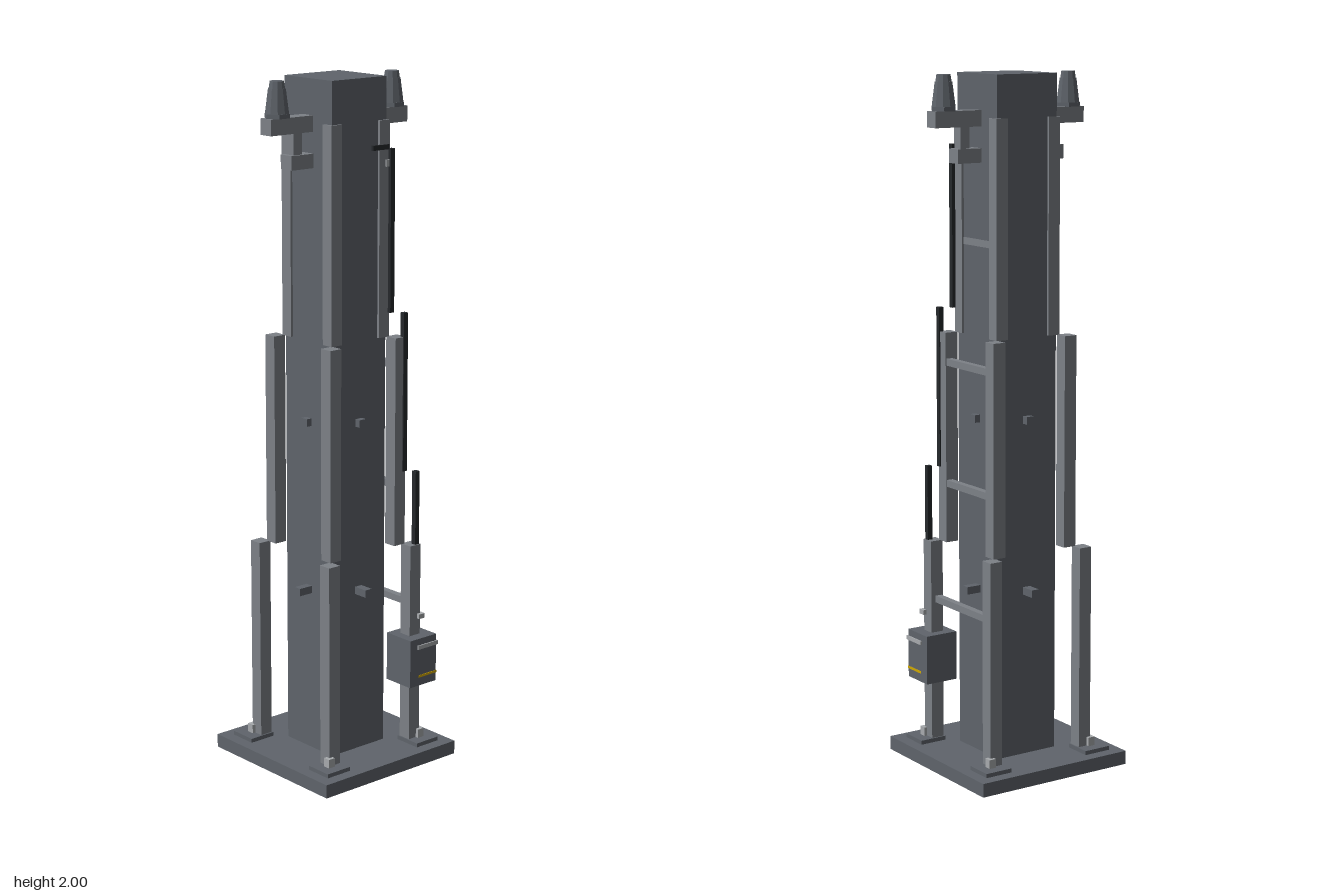
import * as THREE from 'three';

export function createModel() {
  const model = new THREE.Group();
  const mat = (color) => new THREE.MeshStandardMaterial({ color, flatShading: true });
  const slate = mat(0x5f646b), steel = mat(0x7d8187), bright = mat(0xa8abae);
  const black = mat(0x25282b), yellow = mat(0xd0a800);

  const add = (name, geometry, material, x, y, z) => {
    const mesh = new THREE.Mesh(geometry, material);
    mesh.name = name;
    mesh.position.set(x, y, z);
    model.add(mesh);
    return mesh;
  };
  // Box given by its extents along each axis
  const box = (name, material, [x0, x1], [y0, y1], [z0, z1]) =>
    add(name, new THREE.BoxGeometry(x1 - x0, y1 - y0, z1 - z0), material,
      (x0 + x1) / 2, (y0 + y1) / 2, (z0 + z1) / 2);
  const around = (c, half) => [c - half, c + half];
  // Square bar standing on the corner diagonal
  const bar = (name, material, c, half, y, sx = 1, sz = 1) =>
    box(name, material, around(sx * c, half), y, around(sz * c, half));

  // Base and column
  box('basePlate', slate, [-0.25, 0.25], [0, 0.04], [-0.25, 0.25]);
  box('column', slate, [-0.1, 0.1], [0.04, 2], [-0.1, 0.1]);

  // Three stepped posts, foot pad and anchor bolt at each corner
  for (const sx of [-1, 1]) for (const sz of [-1, 1]) {
    bar('footPad', slate, 0.173, 0.042, [0.04, 0.052], sx, sz);
    bar('anchorBolt', bright, 0.174, 0.011, [0.052, 0.078], sx, sz);
    bar('lowerPost', steel, 0.155, 0.02, [0.052, 0.65], sx, sz);
    bar('middlePost', steel, 0.122, 0.02, [0.65, 1.265], sx, sz);
    bar('upperPost', steel, 0.088, 0.019, [1.265, 1.88], sx, sz);
  }

  // Rungs on the left side
  for (const [x, y, half] of [[0.15, 0.475, 0.137], [0.13, 0.825, 0.104], [0.13, 1.18, 0.104], [0.091, 1.53, 0.07]])
    box('rung', steel, around(x, 0.01), around(y, 0.01), around(0, half));

  // Stub brackets on all four faces
  for (const [y, reach] of [[0.53, 0.145], [1.03, 0.118]]) for (const s of [-1, 1]) {
    const out = s > 0 ? [0.1, reach] : [-reach, -0.1];
    box('stub', slate, around(0, 0.012), around(y, 0.011), out);
    box('stub', slate, out, around(y, 0.011), around(0, 0.012));
  }

  // Side arms with hangers and tapered caps
  for (const s of [-1, 1]) {
    const span = (a, b) => s > 0 ? [a, b] : [-b, -a];
    box('arm', steel, span(0.1, 0.25), [1.855, 1.9], [-0.022, 0.022]);
    box('hanger', steel, span(0.136, 0.165), [1.795, 1.855], [-0.016, 0.016]);
    box('hangerBlock', steel, span(0.1, 0.179), [1.755, 1.795], [-0.023, 0.023]);
    const foot = add('capFoot', new THREE.CylinderGeometry(0.037, 0.037, 0.012, 6), slate, s * 0.21, 1.906, 0);
    foot.rotation.y = Math.PI / 6;
    add('cap', new THREE.CylinderGeometry(0.025, 0.034, 0.068, 10), slate, s * 0.21, 1.946, 0);
    add('capTop', new THREE.CylinderGeometry(0.02, 0.023, 0.02, 10), slate, s * 0.21, 1.99, 0);
  }

  // Control box with ledge and stripe
  bar('controlBox', slate, 0.158, 0.051, [0.23, 0.375]);
  bar('boxLedge', bright, 0.174, 0.039, [0.343, 0.355]);
  bar('boxStripe', yellow, 0.175, 0.0355, [0.255, 0.262]);
  bar('cableClip', bright, 0.174, 0.011, [0.424, 0.438]);
  bar('upperClip', bright, 0.101, 0.01, [1.75, 1.77]);

  // Cable stepping up the front left posts
  for (const [c, y0, y1] of [[0.164, 0.65, 0.87], [0.138, 0.87, 1.335], [0.11, 1.335, 1.8]])
    bar('cable', black, c, 0.0075, [y0, y1]);
  box('cableEnd', black, [0.044, 0.103], [1.798, 1.812], [0.095, 0.109]);

  return model;
}
